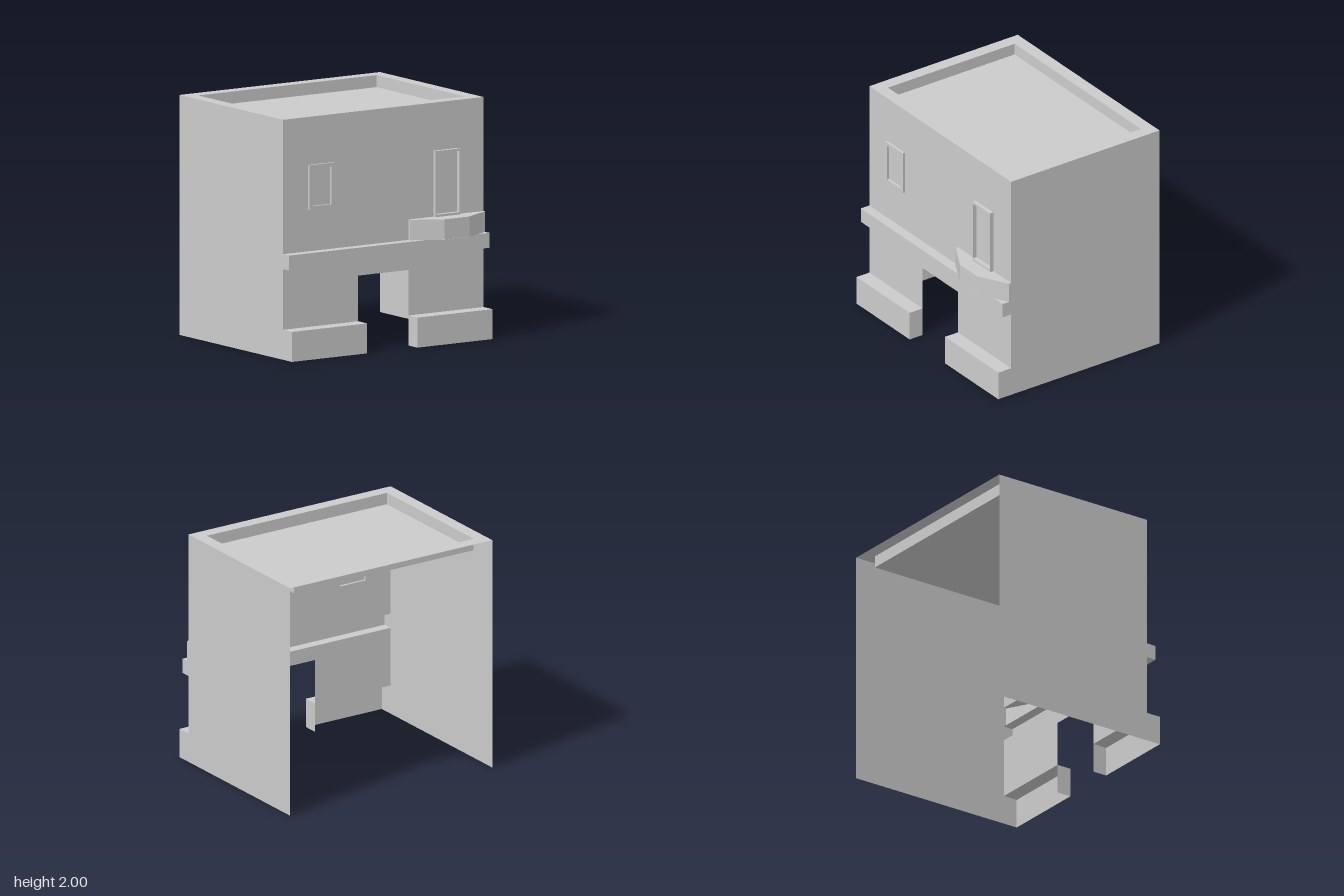
import * as THREE from 'three';

const material = new THREE.MeshStandardMaterial({ color: 0xcccccc, side: THREE.DoubleSide, flatShading: true });
const WALL = 0.67, BACK = -0.83;

const toPoints = (list) => list.map(([x, y]) => new THREE.Vector2(x, y));
const rect = (x0, x1, y0, y1) => [[x0, y0], [x1, y0], [x1, y1], [x0, y1]];

export function createModel() {
  const model = new THREE.Group();

  const add = (name, geometry, parent = model) => {
    const mesh = new THREE.Mesh(geometry, material);
    mesh.name = name;
    parent.add(mesh);
    return mesh;
  };

  // Flat upright sheet in the xy plane, with optional holes
  const sheet = (name, outline, z, holes = [], parent = model) => {
    const shape = new THREE.Shape(toPoints(outline));
    holes.forEach((h) => shape.holes.push(new THREE.Path(toPoints(h))));
    add(name, new THREE.ShapeGeometry(shape), parent).position.z = z;
  };

  // Flat level sheet, its outline given as [x, z]
  const slab = (name, outline, y, holes = [], parent = model) => {
    const flip = (pts) => pts.map(([x, z]) => [x, -z]);
    const shape = new THREE.Shape(toPoints(flip(outline)));
    holes.forEach((h) => shape.holes.push(new THREE.Path(toPoints(flip(h)))));
    add(name, new THREE.ShapeGeometry(shape).rotateX(-Math.PI / 2), parent).position.y = y;
  };

  // Ribbon of quads joining two matching rows of 3D points
  const ribbon = (name, rowA, rowB, parent = model) => {
    const pos = [];
    for (let i = 0; i < rowA.length - 1; i++) {
      const [a, b, c, d] = [rowA[i], rowB[i], rowB[i + 1], rowA[i + 1]];
      pos.push(...a, ...b, ...c, ...a, ...c, ...d);
    }
    const g = new THREE.BufferGeometry();
    g.setAttribute('position', new THREE.Float32BufferAttribute(pos, 3));
    g.computeVertexNormals();
    add(name, g, parent);
  };

  // Side walls, open at the back
  for (const side of [-1, 1]) {
    const x = side;
    const front = [[x, 0, WALL], [x, 2, WALL]], back = [[x, 0, BACK], [x, 2, BACK]];
    if (side > 0) ribbon('leftWall', front, back);
    else ribbon('rightWall', back, front);
  }

  // Front wall: upper part with openings, lower part around the doorway
  sheet('upperFrontWall', [
    [-1, 0.88], [0.25, 0.88], [0.25, 1.05], [0.5, 1.05], [0.5, 1.6],
    [0.75, 1.6], [0.75, 1.05], [1, 1.05], [1, 2], [-1, 2],
  ], WALL, [rect(-0.75, -0.5, 1.225, 1.6)]);
  sheet('lowerFrontWall', [
    [-1, 0.25], [-0.25, 0.25], [-0.25, 0.63], [0.25, 0.63],
    [0.25, 0.25], [1, 0.25], [1, 0.755], [-1, 0.755],
  ], WALL);

  // Stepped band, hollow behind: top, face and underside, then the ends
  const band = (name, x0, x1, profile) => {
    const g = new THREE.Group();
    g.name = name;
    model.add(g);
    ribbon(name + 'Face', profile.map(([y, z]) => [x0, y, z]), profile.map(([y, z]) => [x1, y, z]), g);
    const yTop = profile[0][0], yLow = profile[profile.length - 1][0], z = profile[1][1];
    ribbon(name + 'RightEnd', [[x0, yTop, WALL], [x0, yLow, WALL]], [[x0, yTop, z], [x0, yLow, z]], g);
    ribbon(name + 'LeftEnd', [[x1, yTop, z], [x1, yLow, z]], [[x1, yTop, WALL], [x1, yLow, WALL]], g);
  };
  band('ledge', -1, 1, [[0.88, WALL], [0.88, 0.757], [0.755, 0.757], [0.755, WALL]]);
  const plinth = [[0.25, WALL], [0.25, 0.8], [0, 0.8]];
  band('rightPlinth', -1, -0.25, plinth);
  band('leftPlinth', 0.25, 1, plinth);

  // Bay balcony with slanted ends, hollow behind
  const bay = [[0.25, WALL], [0.25, 0.693], [0.5, 0.83], [0.75, 0.83], [1, 0.693], [1, WALL]];
  const balcony = new THREE.Group();
  balcony.name = 'balcony';
  model.add(balcony);
  ribbon('balconyFace', bay.map(([x, z]) => [x, 1.05, z]), bay.map(([x, z]) => [x, 0.88, z]), balcony);
  slab('balconyTop', bay, 1.05, [], balcony);
  slab('balconyBottom', bay, 0.879, [], balcony);

  // Raised window frame around a recessed pane
  const frame = (name, outer, inner, zFront, zPane) => {
    const g = new THREE.Group();
    g.name = name;
    model.add(g);
    const loop = (pts, z) => [...pts, pts[0]].map(([x, y]) => [x, y, z]);
    sheet(name + 'Frame', outer, zFront, [inner], g);
    ribbon(name + 'Rim', loop(outer, zFront), loop(outer, WALL), g);
    ribbon(name + 'Reveal', loop(inner, zPane), loop(inner, zFront), g);
    sheet(name + 'Pane', inner, zPane, [], g);
  };
  frame('smallWindow', rect(-0.75, -0.5, 1.225, 1.6), rect(-0.72, -0.53, 1.255, 1.57), 0.69, 0.67);
  frame('balconyDoor', rect(0.5, 0.75, 1.05, 1.6), rect(0.505, 0.74, 1.07, 1.58), 0.703, 0.665);

  // Flat roof sunk behind a parapet
  const well = rect(-0.89, 0.89, -0.72, 0.56);
  const ring = (y) => [...well, well[0]].map(([x, z]) => [x, y, z]);
  slab('parapetTop', rect(-1, 1, BACK, WALL), 2, [well]);
  ribbon('parapetInside', ring(2), ring(1.9));
  slab('roof', well, 1.9);

  return model;
}
